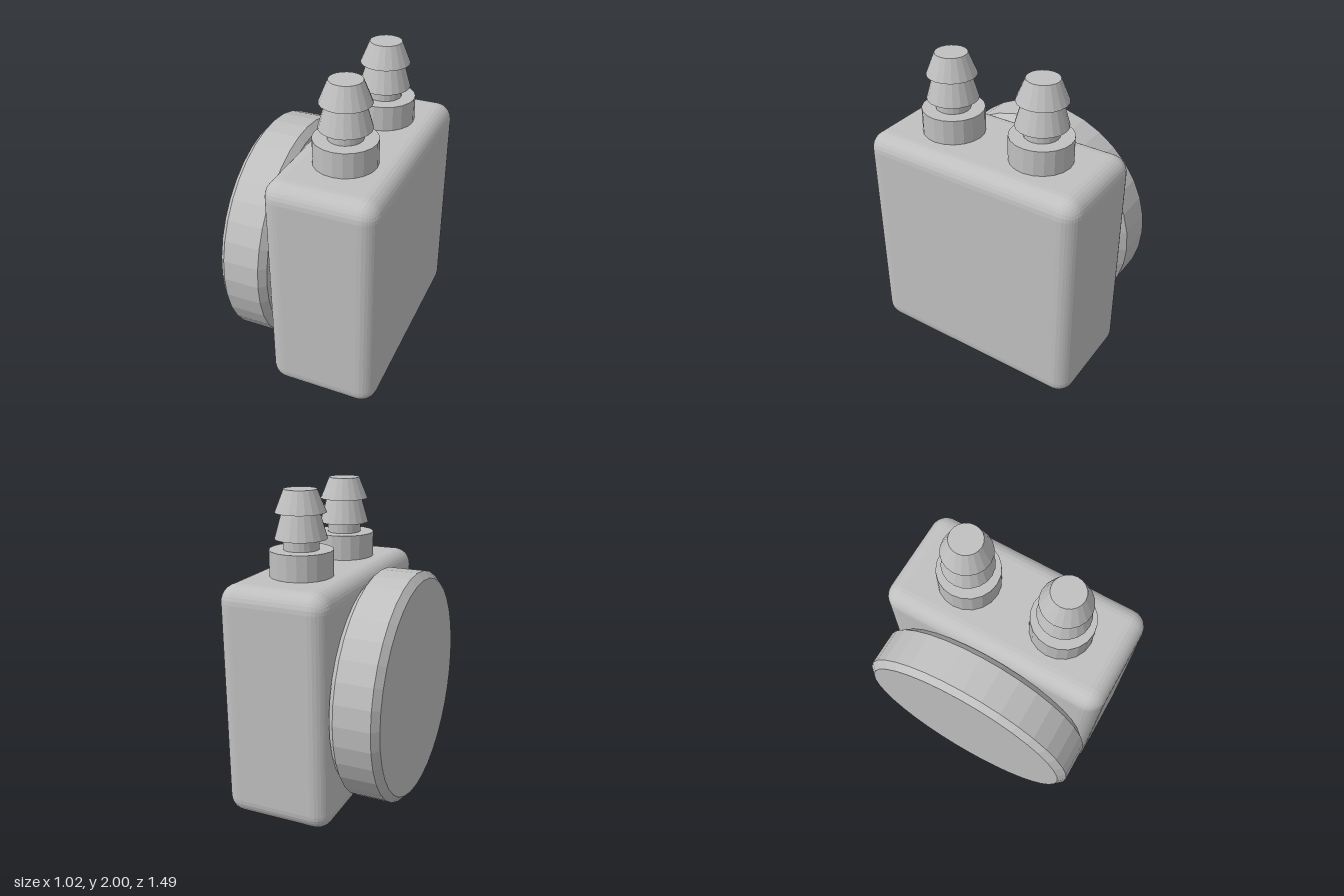
import * as THREE from 'three';
import { RoundedBoxGeometry } from 'three/addons/geometries/RoundedBoxGeometry.js';

export function createModel() {
  const model = new THREE.Group();
  const grey = new THREE.MeshStandardMaterial({ color: 0xc0c0c0, flatShading: true });
  grey.name = 'light grey';

  const add = (name, geometry, parent = model) => {
    const mesh = new THREE.Mesh(geometry, grey);
    mesh.name = name;
    parent.add(mesh);
    return mesh;
  };
  // Closed solid of revolution from [radius, height] pairs, bottom to top
  const turned = (profile, sides) =>
    new THREE.LatheGeometry(profile.map(([r, y]) => new THREE.Vector2(r, y)), sides);

  // Rounded housing
  add('housing', new RoundedBoxGeometry(0.705, 1.486, 1.486, 4, 0.11))
    .position.set(0.157, 0.743, 0);

  // Chamfered round motor on the right side
  const motor = add('motor', turned([
    [0, -0.51], [0.7, -0.51], [0.743, -0.47],
    [0.743, -0.237], [0.7, -0.197], [0, -0.197],
  ], 36));
  motor.rotation.z = -Math.PI / 2;
  motor.position.y = 0.743;

  // Two barbed hose fittings on top
  for (const [name, z] of [['frontFitting', 0.315], ['backFitting', -0.315]]) {
    const fitting = new THREE.Group();
    fitting.name = name;
    fitting.position.set(0.155, 0, z);
    add('collar', turned([[0, 1.47], [0.195, 1.47], [0.195, 1.645], [0, 1.645]], 20), fitting);
    add('barbedStem', turned([
      [0.108, 1.64], [0.108, 1.71], [0.16, 1.71], [0.115, 1.865],
      [0.155, 1.865], [0.1, 2], [0, 2],
    ], 20), fitting);
    model.add(fitting);
  }
  return model;
}
